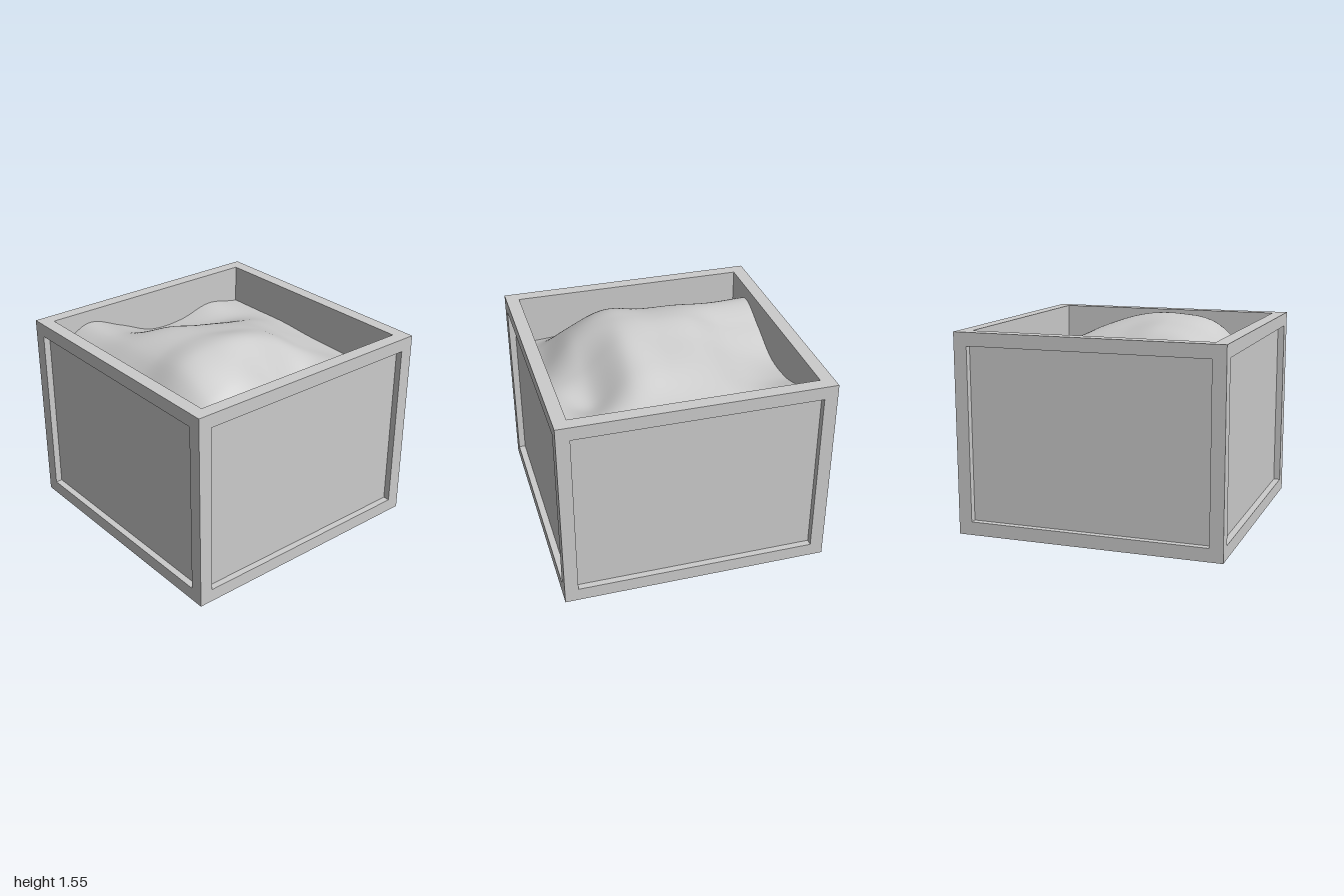
import * as THREE from 'three';

const HEIGHT = 1.5, INNER = 0.9, RECESS = 0.05;

// Fill heights on a 7 x 7 grid: rows run back to front, columns from -x to +x
const HEIGHTS = [
  [1.20, 1.20, 1.20, 1.18, 1.17, 1.17, 1.20],
  [1.25, 1.22, 1.29, 1.29, 1.26, 1.25, 1.24],
  [1.18, 1.22, 1.36, 1.42, 1.41, 1.19, 1.25],
  [1.18, 1.26, 1.42, 1.48, 1.52, 1.30, 1.19],
  [1.30, 1.34, 1.48, 1.515, 1.54, 1.41, 1.15],
  [1.40, 1.40, 1.43, 1.44, 1.47, 1.34, 1.15],
  [1.25, 1.23, 1.23, 1.20, 1.17, 1.13, 1.11],
];

// Catmull-Rom interpolation through evenly spaced values
function spline(values, t) {
  const last = values.length - 1;
  const i = Math.min(Math.floor(t), last - 1), f = t - i;
  const at = (k) => values[THREE.MathUtils.clamp(k, 0, last)];
  const [a, b, c, d] = [at(i - 1), at(i), at(i + 1), at(i + 2)];
  return b + 0.5 * f * (c - a + f * (2 * a - 5 * b + 4 * c - d + f * (3 * (b - c) + d - a)));
}

function fillHeight(x, z) {
  const grid = (v) => THREE.MathUtils.clamp((v + INNER) / (2 * INNER) * 6, 0, 6);
  return spline(HEIGHTS.map((row) => spline(row, grid(x))), grid(z));
}

function addMesh(parent, name, geometry, material) {
  const mesh = new THREE.Mesh(geometry, material);
  mesh.name = name;
  parent.add(mesh);
  return mesh;
}

// One crate side facing +z: raised frame with a recessed panel behind it
function makeSide(name, frameHalf, panelHalf, material) {
  const side = new THREE.Group();
  side.name = name;

  const outline = new THREE.Shape();
  outline.moveTo(-frameHalf, 0).lineTo(frameHalf, 0).lineTo(frameHalf, HEIGHT).lineTo(-frameHalf, HEIGHT);
  const opening = new THREE.Path();
  opening.moveTo(-INNER, 0.1).lineTo(-INNER, HEIGHT - 0.1).lineTo(INNER, HEIGHT - 0.1).lineTo(INNER, 0.1);
  outline.holes.push(opening);
  const frame = new THREE.ExtrudeGeometry(outline, { depth: RECESS, bevelEnabled: false });
  addMesh(side, 'sideFrame', frame, material).position.z = 1 - RECESS;

  const panel = new THREE.BoxGeometry(panelHalf * 2, HEIGHT, 0.05);
  addMesh(side, 'sidePanel', panel, material).position.set(0, HEIGHT / 2, INNER + 0.025);
  return side;
}

export function createModel() {
  const model = new THREE.Group();
  model.name = 'filledCrate';
  const material = new THREE.MeshStandardMaterial({ color: 0xcccccc });

  // Four framed sides
  ['frontSide', 'leftSide', 'backSide', 'rightSide'].forEach((name, i) => {
    const side = makeSide(name, 1, i % 2 ? 0.9 : 0.95, material);
    side.rotation.y = i * Math.PI / 2;
    model.add(side);
  });

  // Floor
  addMesh(model, 'floor', new THREE.BoxGeometry(1.9, 0.05, 1.9), material).position.y = 0.025;

  // Uneven mound of loose fill
  const fill = new THREE.PlaneGeometry(2 * INNER, 2 * INNER, 60, 60).rotateX(-Math.PI / 2);
  const p = fill.attributes.position;
  for (let i = 0; i < p.count; i++) p.setY(i, fillHeight(p.getX(i), p.getZ(i)));
  fill.computeVertexNormals();
  const fillMaterial = new THREE.MeshStandardMaterial({ color: 0xcccccc, side: THREE.DoubleSide });
  addMesh(model, 'fillMound', fill, fillMaterial);

  return model;
}
